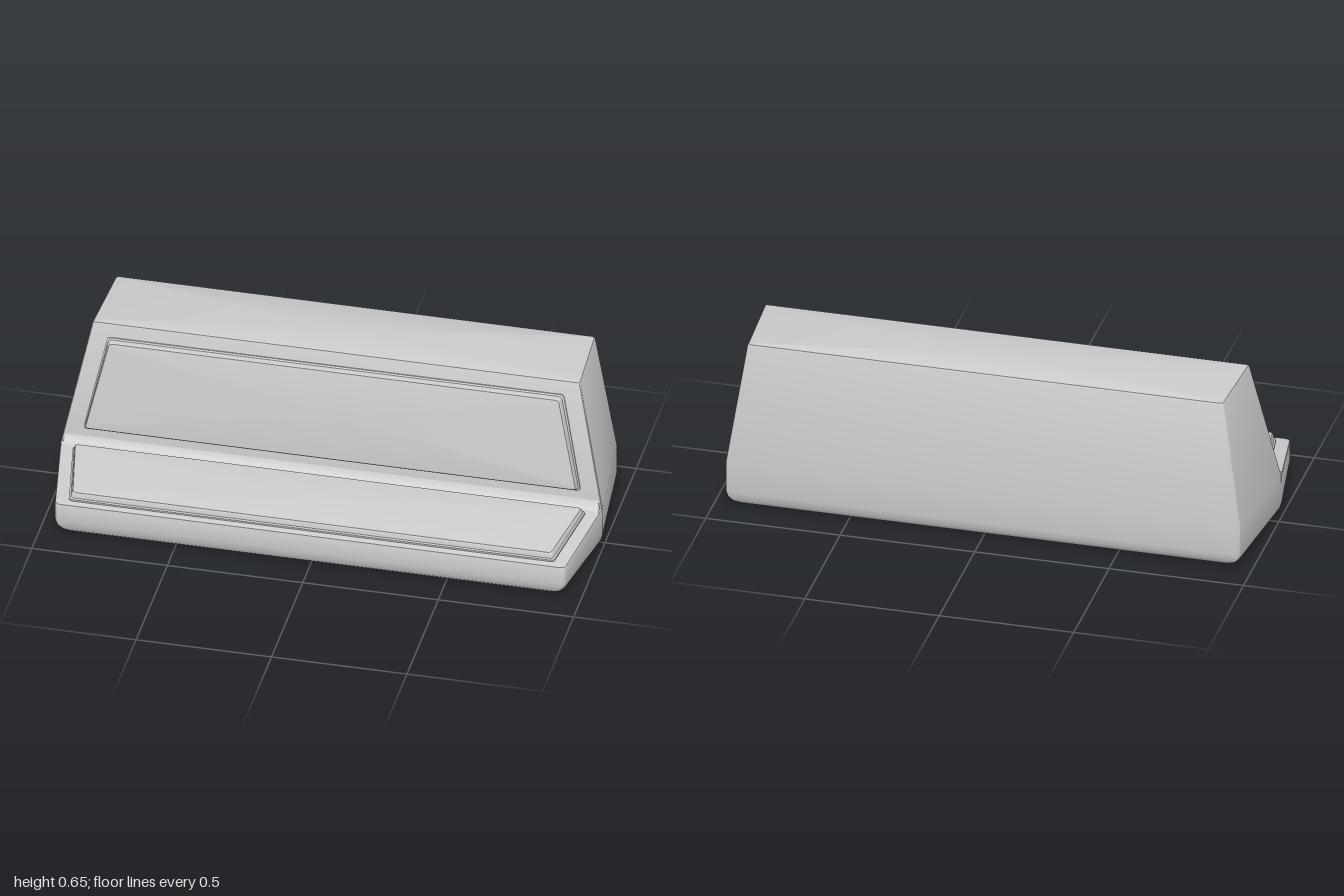
import * as THREE from 'three';
import { toCreasedNormals } from 'three/addons/utils/BufferGeometryUtils.js';

const material = new THREE.MeshStandardMaterial({ color: 0xcccccc });

// Ring of four corners, mirrored in x; [halfWidth, y, z, cornerRadius], front pair then back pair
function ring(front, back) {
  const corner = ([x, y, z, r = 0], s) => ({ p: new THREE.Vector3(s * x, y, z), r });
  const c = [corner(front, -1), corner(front, 1), corner(back, 1), corner(back, -1)];
  const points = [];
  c.forEach(({ p, r }, i) => {
    const towards = (q) => q.clone().sub(p).setLength(r).add(p);
    const a = towards(c[(i + 3) % 4].p), b = towards(c[(i + 1) % 4].p);
    const curve = new THREE.QuadraticBezierCurve3(a, p, b);
    points.push(...curve.getPoints(3));
  });
  return points;
}

// Skin over successive rings, closed at both ends
function loft(name, rings) {
  const pos = [];
  const tri = (...v) => v.forEach((p) => pos.push(p.x, p.y, p.z));
  const n = rings[0].length;
  const centre = (r) => r.reduce((s, p) => s.add(p), new THREE.Vector3()).divideScalar(n);
  const first = rings[0], last = rings[rings.length - 1];
  const c0 = centre(first), c1 = centre(last);
  for (let i = 0; i < n; i++) {
    const j = (i + 1) % n;
    for (let k = 0; k + 1 < rings.length; k++) {
      const a = rings[k], b = rings[k + 1];
      tri(a[i], a[j], b[j]);
      tri(a[i], b[j], b[i]);
    }
    tri(c0, first[j], first[i]);
    tri(c1, last[i], last[j]);
  }
  const geometry = new THREE.BufferGeometry();
  geometry.setAttribute('position', new THREE.Float32BufferAttribute(pos, 3));
  const mesh = new THREE.Mesh(toCreasedNormals(geometry, 0.5), material);
  mesh.name = name;
  return mesh;
}

// Raised trapezoid plate with a small foot step and sloping, softened edges
function panel(name, frontHalf, backHalf, halfLength, height) {
  const levels = [[-0.004, 0], [0.006, 0], [0.009, 0.006], [height - 0.005, 0.010], [height - 0.001, 0.013], [height, 0.018]];
  return loft(name, levels.map(([y, d]) => ring(
    [frontHalf - d, y, halfLength - d, 0.012],
    [backHalf - d, y, -halfLength + d, 0.012])));
}

export function createModel() {
  const group = new THREE.Group();

  // Rounded underside shared by both halves: [y, inset in x, inset in z]
  const underside = [[0, 0.07, 0.035], [0.006, 0.045, 0.023], [0.018, 0.022, 0.010], [0.035, 0.007, 0.003], [0.058, 0, 0]];

  // Low front half with its sloping deck
  const deckRings = underside.map(([y, dx, dz]) => ring([0.942 - dx, y, 0.388 - dz, 0.018], [1 - dx, y, 0.04]));
  deckRings.push(
    ring([0.942, 0.121, 0.388, 0.018], [1, 0.163, 0.04]),
    ring([0.940, 0.128, 0.386, 0.018], [0.998, 0.169, 0.04]),
    ring([0.934, 0.131, 0.379, 0.018], [0.991, 0.172, 0.04]));
  group.add(loft('frontBase', deckRings));

  // Tall rear half, tapering upward from the belt line
  const rearRings = underside.map(([y, dx, dz]) => ring([1 - dx, y, 0.04], [0.957 - dx, y, -0.387 + dz, 0.012]));
  rearRings.push(
    ring([1, 0.17, 0.04, 0.008], [0.957, 0.17, -0.387, 0.012]),
    ring([0.902, 0.64, -0.035, 0.008], [0.886, 0.64, -0.35, 0.012]),
    ring([0.898, 0.647, -0.038, 0.008], [0.882, 0.647, -0.347, 0.012]),
    ring([0.89, 0.65, -0.044, 0.008], [0.875, 0.65, -0.341, 0.012]));
  group.add(loft('rearBody', rearRings));

  // Concave blend where the deck meets the sloping face
  const blend = [[0.02, 0.16], [0.068, 0.168], [0.052, 0.173], [0.044, 0.181], [0.035, 0.201]];
  const section = (s) => blend.map(([z, y]) => new THREE.Vector3(s * (0.992 - (y - 0.16) * 0.2), y, z));
  group.add(loft('deckBlend', [section(1), section(-1)]));

  // Raised deck plate
  const deckPanel = panel('deckPanel', 0.895, 0.947, 0.146, 0.031);
  deckPanel.position.set(0, 0.151, 0.218);
  deckPanel.rotation.x = 0.117;
  group.add(deckPanel);

  // Raised plate on the sloping upright face
  const facePanel = panel('facePanel', 0.918, 0.842, 0.184, 0.032);
  facePanel.position.set(0, 0.414, 0.001);
  facePanel.rotation.x = Math.PI / 2 - 0.162;
  group.add(facePanel);

  return group;
}
